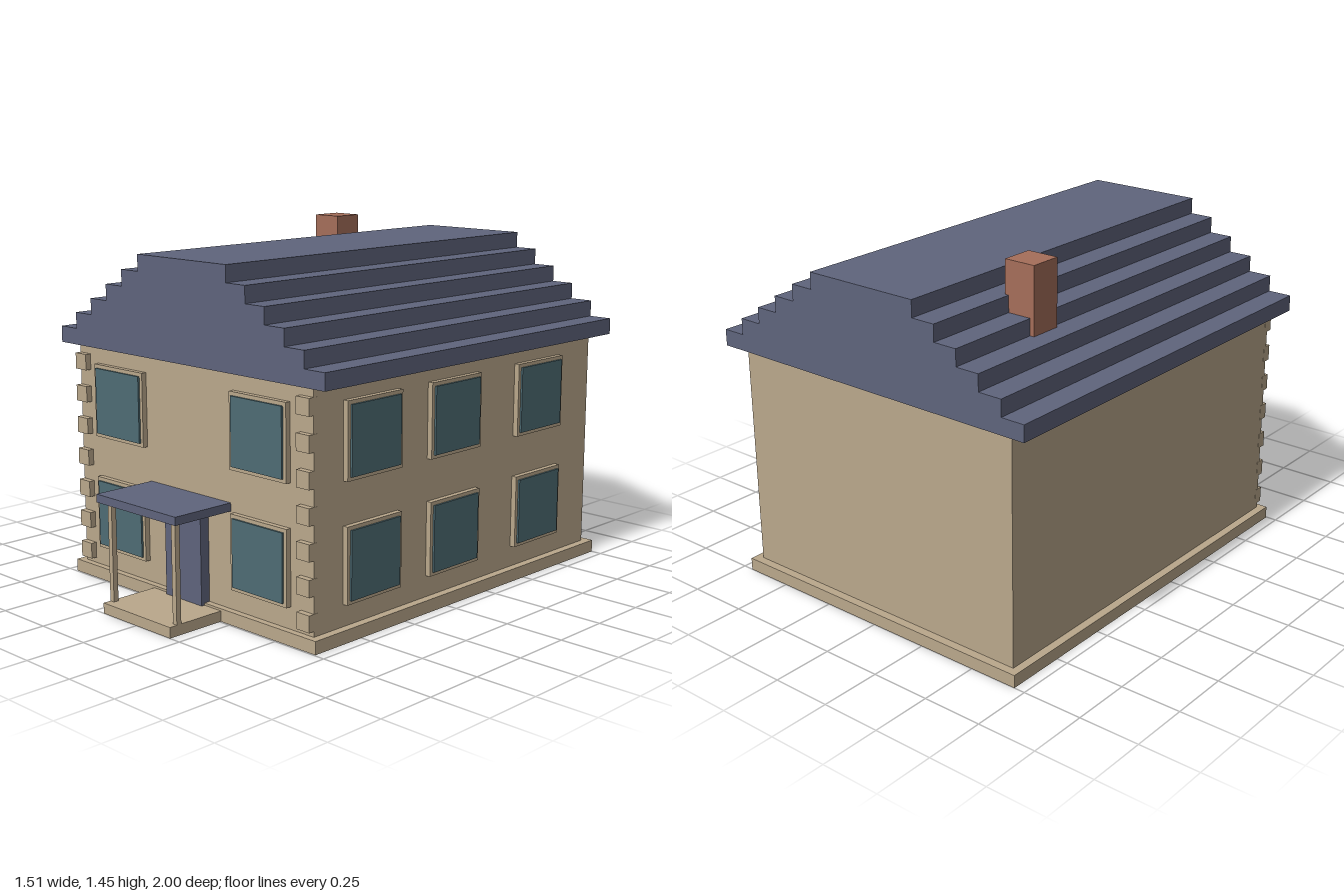
import * as THREE from 'three';

const mat = (name, color) => {
  const m = new THREE.MeshStandardMaterial({ color });
  m.name = name;
  return m;
};

export function createModel() {
  const house = new THREE.Group();
  house.name = 'house';
  const stone = mat('stone', 0xbaa88c);
  const slate = mat('slate', 0x5f647c);
  const glass = mat('glass', 0x4e6c74);
  const brick = mat('brick', 0xa56e5a);

  // Box given by its limits on each axis
  const box = (name, material, [x0, x1], [y0, y1], [z0, z1], parent = house) => {
    const mesh = new THREE.Mesh(new THREE.BoxGeometry(x1 - x0, y1 - y0, z1 - z0), material);
    mesh.position.set((x0 + x1) / 2, (y0 + y1) / 2, (z0 + z1) / 2);
    mesh.name = name;
    parent.add(mesh);
    return mesh;
  };

  // Plinth and walls
  box('plinth', stone, [-0.704, 0.704], [0, 0.052], [-1, 0.745]);
  box('walls', stone, [-0.67, 0.67], [0.052, 0.978], [-0.965, 0.718]);

  // Stepped roof: one extruded profile, running front to back
  const halfWidths = [0.753, 0.653, 0.553, 0.453, 0.353, 0.252];
  const eaves = 0.977, rise = 0.0667;
  const right = [];
  halfWidths.forEach((w, i) => {
    right.push([w, eaves + i * rise], [w, eaves + (i + 1) * rise]);
  });
  const left = right.map(([x, y]) => [-x, y]).reverse();
  const profile = new THREE.Shape([...right, ...left].map(([x, y]) => new THREE.Vector2(x, y)));
  const roof = new THREE.Mesh(
    new THREE.ExtrudeGeometry(profile, { depth: 1.748, bevelEnabled: false }), slate);
  roof.position.z = -1;
  roof.name = 'roof';
  house.add(roof);

  box('chimney', brick, [-0.471, -0.337], [1.1, 1.445], [-0.598, -0.464]);

  // Windows: raised frame with a pane standing slightly proud, facing local +z
  const addWindow = (x, y, z, turn) => {
    const win = new THREE.Group();
    win.name = 'window';
    box('windowFrame', stone, [-0.15, 0.15], [-0.15, 0.15], [-0.01, 0.022], win);
    box('windowPane', glass, [-0.135, 0.135], [-0.135, 0.135], [0.022, 0.03], win);
    win.position.set(x, y, z);
    win.rotation.y = turn;
    house.add(win);
  };
  for (const y of [0.289, 0.759]) {
    for (const x of [-0.402, 0.402]) addWindow(x, y, 0.718, 0);
    for (const z of [0.415, -0.055, -0.597]) addWindow(0.67, y, z, Math.PI / 2);
  }

  // Corner stones on the front
  for (const side of [-1, 1]) {
    for (let i = 0; i < 7; i++) {
      const y = 0.107 + i * 0.1335;
      const x = side * 0.638;
      box('cornerStone', stone, [x - 0.033, x + 0.033], [y - 0.033, y + 0.033], [0.7, 0.743]);
    }
  }

  // Door and porch
  box('door', slate, [-0.104, 0.104], [0.043, 0.395], [0.7, 0.76]);
  box('porchStep', stone, [-0.198, 0.198], [0, 0.043], [0.745, 1]);
  box('porchCanopy', slate, [-0.232, 0.232], [0.44, 0.473], [0.715, 0.993]);
  for (const x of [-0.187, 0.187]) {
    box('porchPost', stone, [x - 0.011, x + 0.011], [0.043, 0.44], [0.944, 0.966]);
  }
  return house;
}
